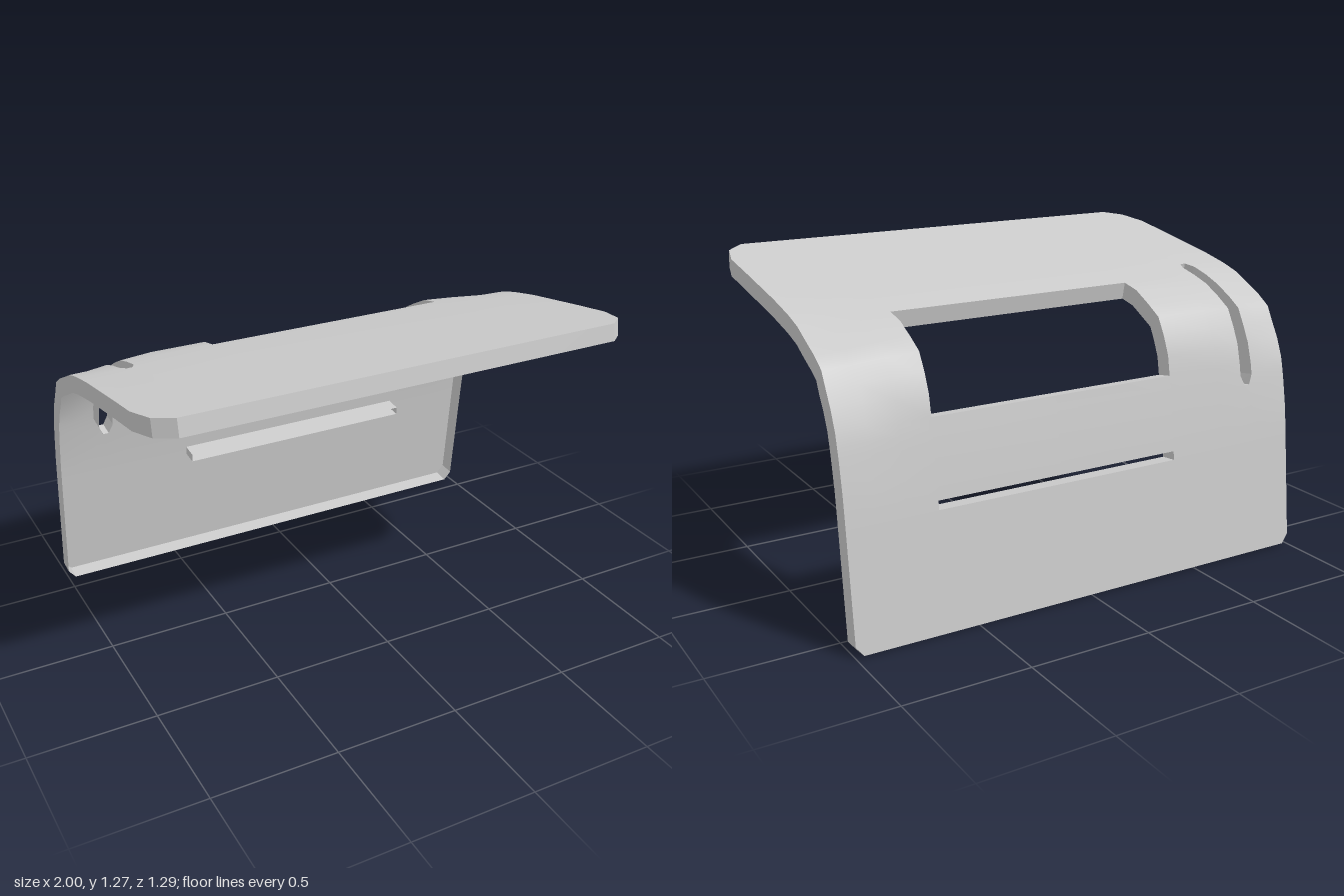
import * as THREE from 'three';

const DEPTH = 0.07; // how far the rims reach inward

// Profile from front lip to bottom edge: z, y, half width, droop at the sides
const ROWS = [
  [0.635, 1.272, 0.9, 0], [0.575, 1.262, 0.97, 0], [0.46, 1.245, 1, 0], [0.3, 1.22, 1, 0],
  [0, 1.17, 1, 0], [-0.11, 1.15, 1, 0.003], [-0.15, 1.143, 1, 0.005], [-0.23, 1.127, 1, 0.012],
  [-0.31, 1.11, 1, 0.032], [-0.39, 1.07, 1, 0.03], [-0.46, 1.03, 1, 0.035], [-0.5, 0.96, 1, 0.035],
  [-0.53, 0.89, 1, 0.027], [-0.545, 0.81, 1, 0.01], [-0.553, 0.76, 1, 0.006], [-0.56, 0.72, 1, 0.004],
  [-0.578, 0.6, 1, 0], [-0.589, 0.51, 1, 0], [-0.593, 0.475, 1, 0], [-0.641, 0.05, 1, 0], [-0.645, 0.012, 0.97, 0],
];
const COLS = [-1, -0.92, -0.83, -0.77, -0.64, -0.41, 0.12, 0.64, 0.77, 0.88, 1];

// Openings as [first column, last column, first row, last row]
const SLIT = [2, 3, 5, 15];
const OPENINGS = { slit: SLIT, window: [5, 7, 7, 13], slot: [5, 7, 17, 18] };

// Unit direction towards the inside of the bend at a row
function inward(i) {
  const a = ROWS[Math.max(i - 1, 0)], b = ROWS[Math.min(i + 1, ROWS.length - 1)];
  const dz = b[0] - a[0], dy = b[1] - a[1], l = Math.hypot(dz, dy);
  return new THREE.Vector3(0, dz / l, -dy / l);
}

function point(i, j) {
  const [z, y, half, droop] = ROWS[i];
  let x = COLS[j] * (Math.abs(COLS[j]) > 0.85 ? half : 1);
  // the slit narrows to rounded ends
  if ((i === SLIT[2] || i === SLIT[3]) && (j === SLIT[0] || j === SLIT[1])) x = -0.8 + (x + 0.8) * 0.4;
  const side = THREE.MathUtils.smoothstep(Math.abs(x), 0.64, 1);
  return new THREE.Vector3(x, y, z).addScaledVector(inward(i), droop * side);
}

const inOpening = (i, j) => Object.values(OPENINGS).some(
  ([c0, c1, r0, r1]) => j >= c0 && j < c1 && i >= r0 && i < r1);

// Curved outer skin with the openings left out
function skinGeometry() {
  const n = COLS.length, pos = [], index = [];
  ROWS.forEach((_, i) => COLS.forEach((_, j) => pos.push(...point(i, j).toArray())));
  for (let i = 0; i < ROWS.length - 1; i++) {
    for (let j = 0; j < n - 1; j++) {
      if (inOpening(i, j)) continue;
      const a = i * n + j, b = a + 1, c = a + n, d = c + 1;
      index.push(a, b, c, b, d, c);
    }
  }
  const g = new THREE.BufferGeometry();
  g.setAttribute('position', new THREE.Float32BufferAttribute(pos, 3));
  g.setIndex(index);
  g.computeVertexNormals();
  return g;
}

// Wall that follows a rectangle of the grid and reaches inward
function rimGeometry([c0, c1, r0, r1]) {
  const loop = [];
  for (let j = c0; j < c1; j++) loop.push([r0, j]);
  for (let i = r0; i < r1; i++) loop.push([i, c1]);
  for (let j = c1; j > c0; j--) loop.push([r1, j]);
  for (let i = r1; i > r0; i--) loop.push([i, c0]);
  const pos = [];
  loop.forEach(([i, j], k) => {
    const [i2, j2] = loop[(k + 1) % loop.length];
    const a = point(i, j), b = point(i2, j2);
    const a2 = a.clone().addScaledVector(inward(i), DEPTH);
    const b2 = b.clone().addScaledVector(inward(i2), DEPTH);
    for (const p of [b, a, a2, b, a2, b2]) pos.push(p.x, p.y, p.z);
  });
  const g = new THREE.BufferGeometry();
  g.setAttribute('position', new THREE.Float32BufferAttribute(pos, 3));
  g.computeVertexNormals();
  return g;
}

export function createModel() {
  const group = new THREE.Group();
  group.name = 'bentCover';
  const material = new THREE.MeshStandardMaterial({ color: 0xcccccc, side: THREE.DoubleSide });
  const add = (name, geometry) => {
    const mesh = new THREE.Mesh(geometry, material);
    mesh.name = name;
    group.add(mesh);
  };
  add('skin', skinGeometry());
  add('outerRim', rimGeometry([0, COLS.length - 1, 0, ROWS.length - 1]));
  for (const [name, box] of Object.entries(OPENINGS)) add(name + 'Rim', rimGeometry(box));
  return group;
}
